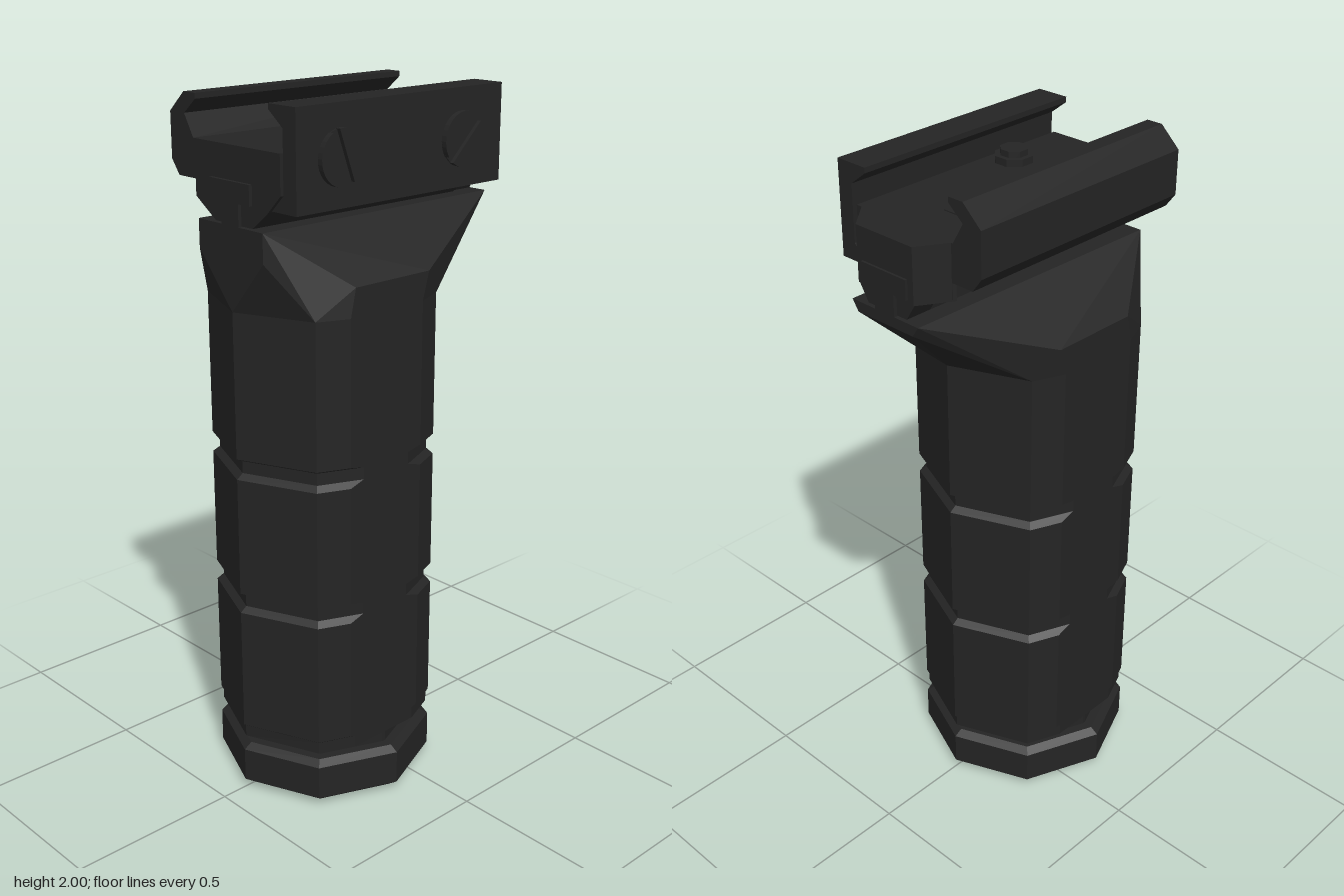
import * as THREE from 'three';
import { ConvexGeometry } from 'three/addons/geometries/ConvexGeometry.js';

const CZ = 0.105;    // centre line of the handle in z
const FLAT = 0.26;   // half width of the flattened handle sides

// Octagon of radius r with its left and right corners cut off at x = +-clip
function section(r, clip) {
  const d = r * Math.SQRT1_2;
  const cx = Math.min(r, clip);
  const cz = r - cx < 1e-6 ? 0 : (r - cx) / (r - d) * d;
  return [[cx, -cz], [cx, cz], [d, d], [0, r], [-d, d],
    [-cx, cz], [-cx, -cz], [-d, -d], [0, -r], [d, -d]];
}

// Faceted solid through rings given as [y, radius]
function loft(rings, clip) {
  const pos = [];
  const loops = rings.map(([y, r]) =>
    section(r, clip).map(([x, z]) => [x, y, z + CZ]));
  const n = loops[0].length;
  const top = loops.length - 1;
  for (let i = 0; i < n; i++) {
    const j = (i + 1) % n;
    for (let k = 0; k < top; k++) {
      const a = loops[k], b = loops[k + 1];
      pos.push(...a[i], ...b[i], ...a[j], ...b[i], ...b[j], ...a[j]);
    }
    pos.push(0, rings[0][0], CZ, ...loops[0][i], ...loops[0][j]);
    pos.push(0, rings[top][0], CZ, ...loops[top][j], ...loops[top][i]);
  }
  const g = new THREE.BufferGeometry();
  g.setAttribute('position', new THREE.Float32BufferAttribute(pos, 3));
  g.computeVertexNormals();
  return g;
}

// Outline in x, y pulled along z from z0 to z1
function prism(points, z0, z1) {
  const shape = new THREE.Shape(points.map(([x, y]) => new THREE.Vector2(x, y)));
  const g = new THREE.ExtrudeGeometry(shape, { depth: z1 - z0, bevelEnabled: false });
  return g.translate(0, 0, z0);
}

export function createModel() {
  const group = new THREE.Group();
  const black = new THREE.MeshStandardMaterial({ color: 0x242424, flatShading: true });
  black.name = 'matte black';
  const add = (name, geometry, parent = group) => {
    const mesh = new THREE.Mesh(geometry, black);
    mesh.name = name;
    parent.add(mesh);
    return mesh;
  };

  // Bottom cap with bevelled rims
  add('endCap', loft([[0, 0.28], [0.025, 0.315], [0.125, 0.315], [0.14, 0.29]], Infinity));

  // Handle with a neck, a bottom step and two grooves
  const rings = [[0.13, 0.262], [0.17, 0.262], [0.17, 0.308], [0.205, 0.308], [0.21, 0.315]];
  for (const y of [0.602, 1.007]) {
    rings.push([y - 0.03, 0.315], [y - 0.015, 0.295], [y + 0.02, 0.295], [y + 0.03, 0.315]);
  }
  rings.push([1.45, 0.315]);
  add('handle', loft(rings, FLAT));

  // Head flaring from the handle to the rail
  const headPoints = section(0.315, FLAT).map(([x, z]) => new THREE.Vector3(x, 1.45, z + CZ));
  for (const s of [-1, 1]) {
    for (const [x, y, z] of [[FLAT, 1.53, 0.22], [FLAT, 1.53, -0.05],
      [0.13, 1.6, 0.42], [0.13, 1.68, 0.42], [0.1, 1.65, -0.42], [0.12, 1.68, -0.42]]) {
      headPoints.push(new THREE.Vector3(s * x, y, z));
    }
  }
  add('head', new ConvexGeometry(headPoints));

  // T-shaped tongue on the head that carries the rail
  add('tongue', prism([[-0.035, 1.67], [0.035, 1.67], [0.035, 1.74], [0.08, 1.74],
    [0.08, 1.795], [-0.08, 1.795], [-0.08, 1.74], [-0.035, 1.74]], -0.42, 0.42));

  // Rail body with the fixed jaw
  add('railBody', prism([
    [-0.07, 1.682], [0.08, 1.682], [0.14, 1.73], [0.19, 1.78], [0.19, 1.885],
    [-0.155, 1.885], [-0.19, 1.945], [-0.142, 1.985], [-0.142, 2], [-0.19, 2],
    [-0.25, 1.945], [-0.25, 1.82], [-0.22, 1.78], [-0.15, 1.78], [-0.15, 1.735],
  ], -0.33, 0.41));

  // Rear end of the rail with cut corners
  const tail = [];
  for (const [x, z] of [[-0.155, -0.32], [-0.1, -0.413], [0.1, -0.413], [0.18, -0.32]]) {
    for (const y of [1.73, 1.885]) tail.push(new THREE.Vector3(x, y, z));
  }
  add('railTail', new ConvexGeometry(tail));
  add('railTailFoot', prism([[-0.07, 1.682], [0.07, 1.682], [0.1, 1.73], [-0.1, 1.73]], -0.41, -0.32));

  // Clamping jaw on the left side
  add('clampJaw', prism([[0.14, 1.735], [0.238, 1.735], [0.238, 2], [0.138, 2],
    [0.138, 1.985], [0.19, 1.945], [0.19, 1.785]], -0.343, 0.4));

  // Slotted screws through the jaw: a disc with two raised halves
  const half = new THREE.Shape();
  const a0 = Math.asin(0.16);
  half.absarc(0, 0, 0.074, a0, Math.PI - a0, false);
  half.closePath();
  for (const [z, tilt] of [[0.255, 0.35], [-0.185, -0.8]]) {
    const screw = new THREE.Group();
    screw.name = 'clampScrew';
    screw.position.set(0.236, 1.865, z);
    screw.rotation.set(tilt, Math.PI / 2, 0, 'XYZ');
    screw.rotation.order = 'YXZ';
    screw.rotation.set(0, Math.PI / 2, Math.PI / 2 + tilt);
    add('screwDisc', new THREE.CylinderGeometry(0.074, 0.074, 0.012, 14).rotateX(Math.PI / 2), screw);
    for (const turn of [0, Math.PI]) {
      add('screwHalf', new THREE.ExtrudeGeometry(half,
        { depth: 0.018, bevelEnabled: false, curveSegments: 7 }), screw).rotation.z = turn;
    }
    group.add(screw);
  }

  // Stop pin and flush bolt on the rail floor
  const disc = (name, r, h, sides, x, y, z) =>
    add(name, new THREE.CylinderGeometry(r, r, h, sides).rotateY(Math.PI / 8)).position.set(x, y, z);
  disc('stopPin', 0.055, 0.03, 8, 0.118, 1.89, 0.17);
  disc('stopPinTop', 0.04, 0.04, 8, 0.118, 1.902, 0.17);
  disc('boltHead', 0.09, 0.006, 8, -0.03, 1.885, -0.12);
  disc('boltSocket', 0.03, 0.008, 6, -0.03, 1.886, -0.12);

  return group;
}
